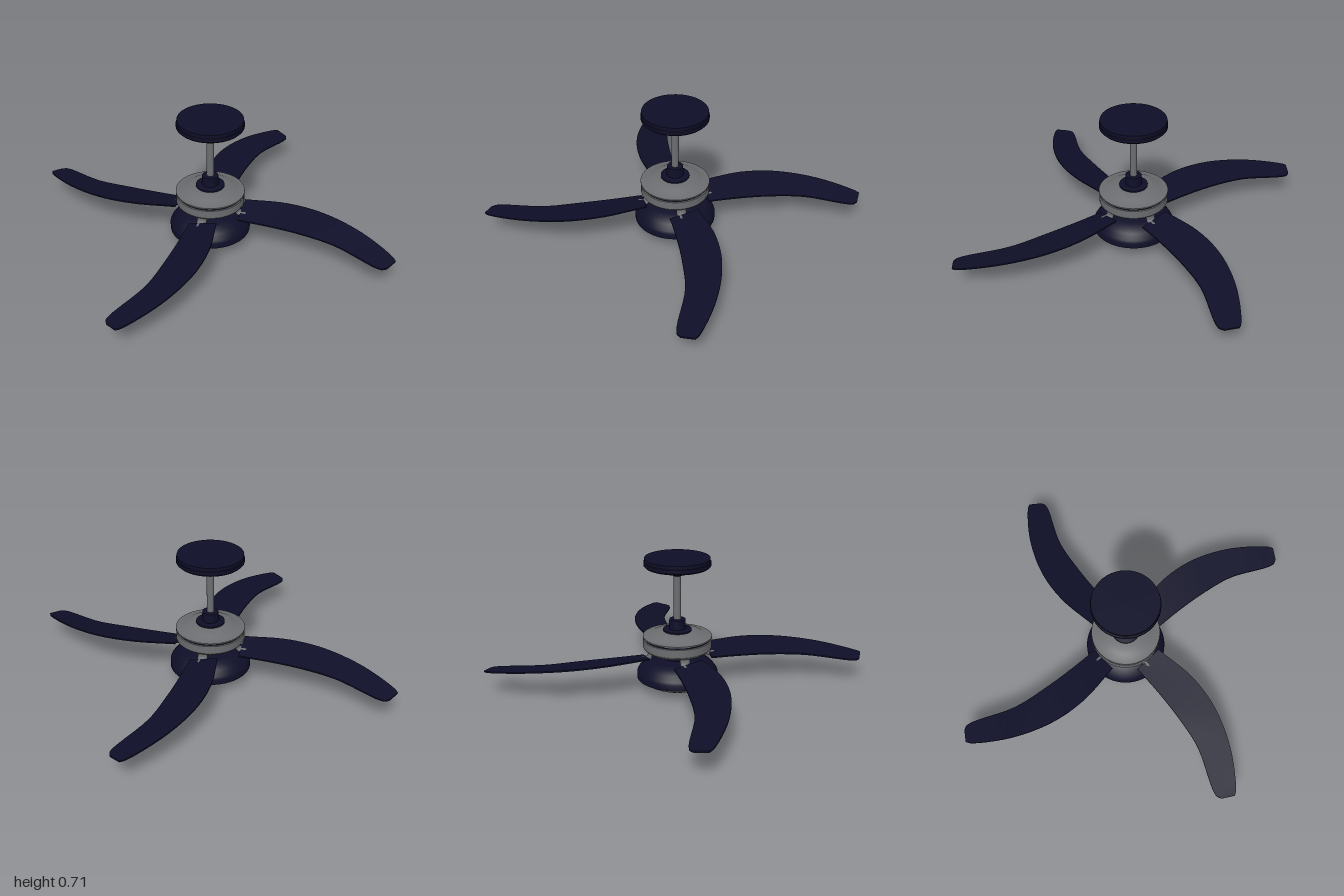
import * as THREE from 'three';
import { toCreasedNormals } from 'three/addons/utils/BufferGeometryUtils.js';

const material = (name, color) => {
  const m = new THREE.MeshStandardMaterial({ color });
  m.name = name;
  return m;
};

function addMesh(parent, name, geometry, mat) {
  const mesh = new THREE.Mesh(geometry, mat);
  mesh.name = name;
  parent.add(mesh);
  return mesh;
}

// Turned part from [radius, height] pairs, listed from bottom to top
function turned(profile, crease = 0.5) {
  const points = profile.map(([r, y]) => new THREE.Vector2(r, y));
  return toCreasedNormals(new THREE.LatheGeometry(points, 48), crease);
}

const curve = (pts) => new THREE.CatmullRomCurve3(pts.map((p) => new THREE.Vector3(...p)));

// Swept, pitched blade lofted between its raised and lowered edges
function bladeGeometry() {
  const high = curve([
    [0.17, 0.206, -0.085], [0.4, 0.204, -0.116], [0.6, 0.193, -0.094],
    [0.81, 0.172, -0.01], [0.985, 0.145, 0.115], [1, 0.142, 0.138],
  ]);
  const low = curve([
    [0.17, 0.172, 0.065], [0.33, 0.17, 0.068], [0.5, 0.165, 0.08],
    [0.69, 0.152, 0.11], [0.935, 0.131, 0.208], [0.965, 0.132, 0.197],
  ]);
  const steps = 30;
  const thickness = 0.008;
  const positions = [];
  const index = [];
  for (let i = 0; i <= steps; i++) {
    const a = high.getPoint(i / steps);
    const b = low.getPoint(i / steps);
    for (const [p, drop] of [[a, 0], [b, 0], [b, thickness], [a, thickness]]) {
      positions.push(p.x, p.y - drop, p.z);
    }
    if (i === steps) continue;
    for (let k = 0; k < 4; k++) {
      const p = i * 4 + k;
      const q = i * 4 + ((k + 1) % 4);
      index.push(p, q, p + 4, q, q + 4, p + 4);
    }
  }
  const e = steps * 4;
  index.push(0, 2, 1, 0, 3, 2, e, e + 1, e + 2, e, e + 2, e + 3);
  const g = new THREE.BufferGeometry();
  g.setAttribute('position', new THREE.Float32BufferAttribute(positions, 3));
  g.setIndex(index);
  return toCreasedNormals(g, 0.6);
}

export function createModel() {
  const navy = material('navy', 0x0e0e28);
  const metal = material('grey metal', 0x6c6d70);
  const glass = material('frosted glass', 0x85857f);
  const fan = new THREE.Group();
  fan.name = 'ceilingFan';

  // Ceiling mount and down rod
  addMesh(fan, 'canopy', turned([
    [0, 0.615], [0.026, 0.617], [0.038, 0.63], [0.04, 0.645], [0.075, 0.648],
    [0.165, 0.663], [0.174, 0.672], [0.174, 0.69], [0.17, 0.692], [0.17, 0.71], [0, 0.71],
  ]), navy);
  addMesh(fan, 'downRod', new THREE.CylinderGeometry(0.019, 0.019, 0.28, 24), metal)
    .position.y = 0.49;
  addMesh(fan, 'collar', turned([
    [0, 0.31], [0.075, 0.31], [0.075, 0.325], [0.045, 0.33], [0.042, 0.38], [0, 0.382],
  ]), navy);

  // Motor housing with a dark groove under its rim
  addMesh(fan, 'motorHousing', turned([
    [0, 0.213], [0.165, 0.213], [0.176, 0.222], [0.181, 0.23], [0.181, 0.272],
    [0.172, 0.275], [0.172, 0.281], [0.182, 0.283], [0.182, 0.29], [0.15, 0.294],
    [0.13, 0.305], [0.1, 0.314], [0.06, 0.32], [0, 0.322],
  ]), metal);
  addMesh(fan, 'motorGroove', turned([[0.175, 0.274], [0.176, 0.282]]), navy);

  // Lower housing and light
  addMesh(fan, 'neck', turned([
    [0.068, 0.15], [0.072, 0.178], [0.1, 0.198], [0.104, 0.215], [0, 0.215],
  ]), navy);
  addMesh(fan, 'lowerHousing', turned([
    [0, 0.06], [0.214, 0.06], [0.214, 0.09], [0.208, 0.103], [0.185, 0.132],
    [0.16, 0.15], [0.13, 0.16], [0.09, 0.167], [0, 0.169],
  ]), navy);
  const bowl = [];
  for (let i = 0; i <= 10; i++) {
    const a = (i / 10) * Math.PI / 2;
    bowl.push([0.193 * Math.sin(a), 0.064 - 0.064 * Math.cos(a)]);
  }
  addMesh(fan, 'lightBowl', turned(bowl, 0.7), glass);

  // Four blades with their bent brackets
  const blade = bladeGeometry();
  const armPath = curve([[0.148, 0.235, 0], [0.148, 0.2, 0], [0.156, 0.179, 0], [0.2, 0.174, 0]]);
  const arm = new THREE.TubeGeometry(armPath, 16, 0.011, 10);
  arm.scale(1, 1, 2.4);
  const plate = new THREE.BoxGeometry(0.11, 0.012, 0.055);
  for (let i = 0; i < 4; i++) {
    const unit = new THREE.Group();
    unit.name = 'bladeAssembly';
    unit.rotation.y = (i * Math.PI) / 2;
    addMesh(unit, 'blade', blade, navy);
    addMesh(unit, 'bracketArm', arm, metal);
    const p = addMesh(unit, 'bracketPlate', plate, metal);
    p.position.set(0.23, 0.174, 0);
    p.rotation.x = 0.22;
    fan.add(unit);
  }
  return fan;
}
